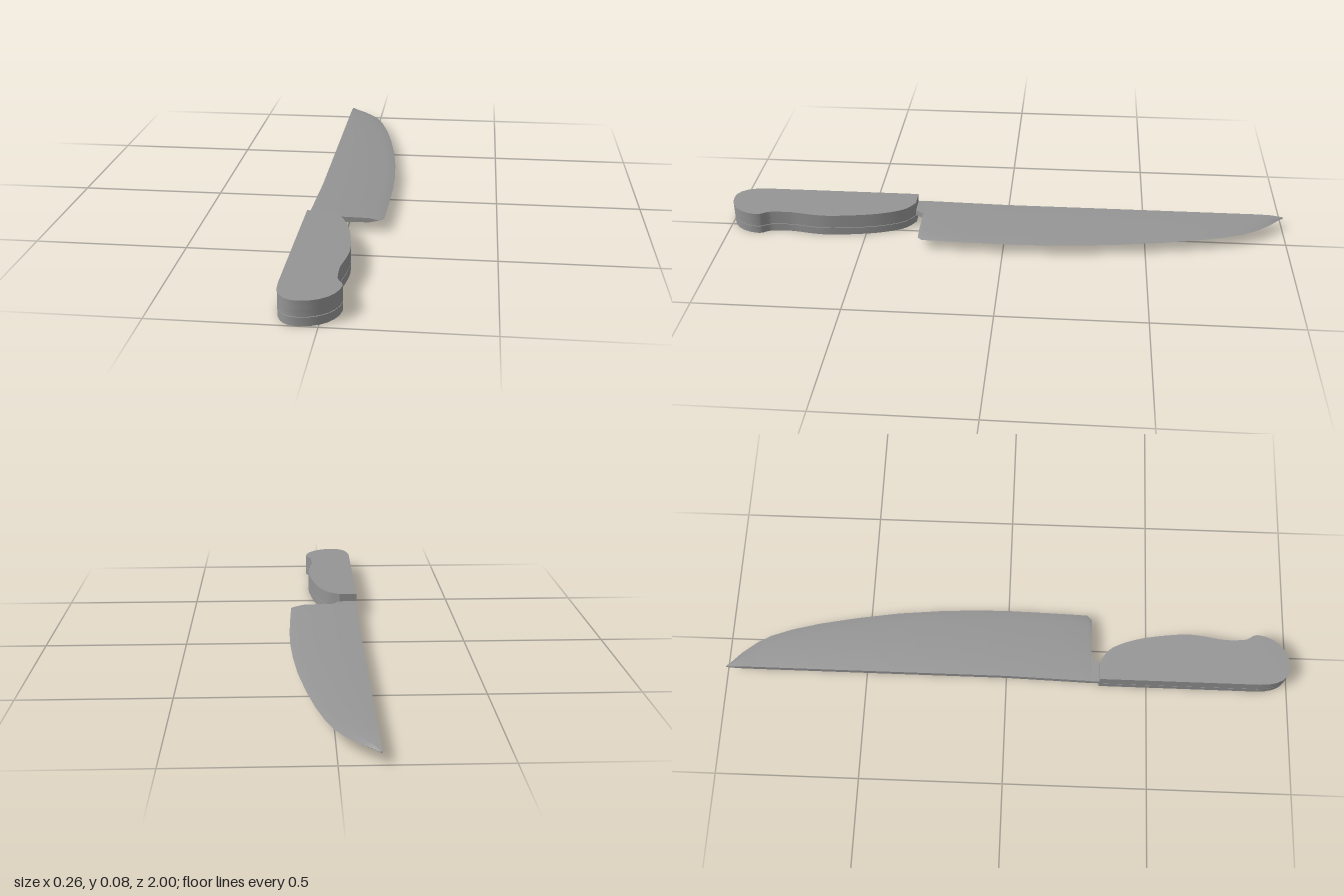
import * as THREE from 'three';
import { toCreasedNormals } from 'three/addons/utils/BufferGeometryUtils.js';

const MID = 0.04; // height of the blade's centre plane

function part(name, geometry, crease = 0.5) {
  const material = new THREE.MeshStandardMaterial({ color: 0x959595 });
  const mesh = new THREE.Mesh(toCreasedNormals(geometry, crease), material);
  mesh.name = name;
  return mesh;
}

// Lays an outline drawn in (x, z) flat, between two heights
function slab(shape, bottom, top) {
  return new THREE.ExtrudeGeometry(shape, { depth: top - bottom, bevelEnabled: false, curveSegments: 6 })
    .rotateX(Math.PI / 2).translate(0, top, 0);
}

// Handle outline: straight back, rounded butt, finger curve
function handleShape() {
  const s = new THREE.Shape();
  s.moveTo(-0.13, 0.33);
  s.lineTo(-0.065, 0.33);
  s.splineThru([[-0.02, 0.362], [0.01, 0.42], [0.032, 0.5], [0.048, 0.62], [0.045, 0.69],
    [0.033, 0.77], [0.035, 0.84]].map(p => new THREE.Vector2(...p)));
  s.bezierCurveTo(0.04, 0.865, 0.056, 0.87, 0.056, 0.89);
  s.bezierCurveTo(0.052, 0.95, 0.01, 1.0, -0.06, 1.0);
  s.bezierCurveTo(-0.105, 1.0, -0.13, 0.96, -0.13, 0.89);
  s.closePath();
  return s;
}

// Blade lofted from heel to tip: five-point sections with a bevelled edge
function bladeGeometry() {
  // z, edge x, half thickness at the spine
  const stations = [
    [0.301, 0.107, 0.011], [0.285, 0.123, 0.011], [0.15, 0.127, 0.011], [0, 0.13, 0.011],
    [-0.12, 0.128, 0.011], [-0.25, 0.12, 0.011], [-0.4, 0.105, 0.011], [-0.55, 0.081, 0.011],
    [-0.68, 0.055, 0.011], [-0.78, 0.028, 0.011], [-0.85, 0.002, 0.011], [-0.9, -0.027, 0.011],
    [-0.95, -0.068, 0.01], [-0.98, -0.1, 0.006], [-1, -0.119, 0.003]];
  const pos = [], index = [], n = 5;
  stations.forEach(([z, edge, h], i) => {
    const spine = -0.122 - Math.max(z, 0) * 0.026;
    const bevel = edge - Math.min(0.035, (edge - spine) * 0.4);
    pos.push(spine, MID + h, z, bevel, MID + h * 0.7, z, edge, MID, z,
      bevel, MID - h * 0.7, z, spine, MID - h, z);
    if (i === 0) return;
    for (let j = 0; j < n; j++) {
      const k = (j + 1) % n, p = (i - 1) * n, q = i * n;
      index.push(p + j, p + k, q + k, p + j, q + k, q + j);
    }
  });
  const last = (stations.length - 1) * n;
  for (let j = 1; j < n - 1; j++) index.push(0, j + 1, j, last, last + j, last + j + 1);
  const g = new THREE.BufferGeometry();
  g.setAttribute('position', new THREE.Float32BufferAttribute(pos, 3));
  g.setIndex(index);
  return g;
}

export function createModel() {
  const knife = new THREE.Group();
  knife.name = 'kitchenKnife';

  // Handle: two scales around the full tang, with a hairline seam below it
  const handle = new THREE.Group();
  handle.name = 'handle';
  const outline = handleShape();
  handle.add(
    part('lowerScale', slab(outline, 0, 0.027)),
    part('tang', slab(outline, 0.029, 0.051)),
    part('upperScale', slab(outline, 0.051, 0.079)));

  // Short neck joining the tang to the blade
  const neck = new THREE.Shape([[-0.13, 0.335], [-0.13, 0.299], [-0.03, 0.299], [-0.045, 0.307], [-0.065, 0.335]]
    .map(p => new THREE.Vector2(...p)));

  knife.add(handle, part('neck', slab(neck, 0.03, 0.05)), part('blade', bladeGeometry(), 0.3));
  return knife;
}
